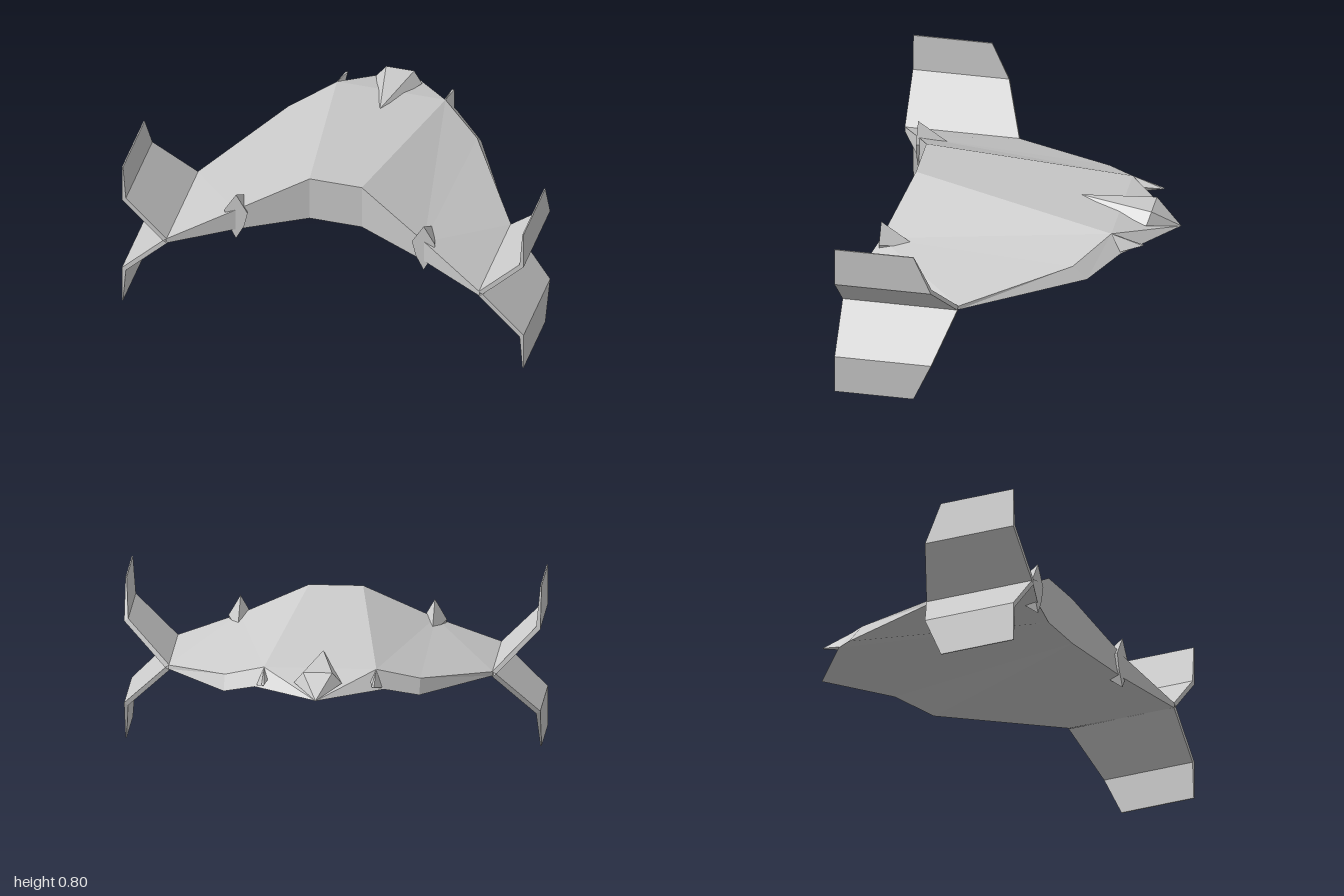
import * as THREE from 'three';
import { ConvexGeometry } from 'three/addons/geometries/ConvexGeometry.js';

const material = new THREE.MeshStandardMaterial({ color: 0xcccccc, flatShading: true, side: THREE.DoubleSide });
const flip = ([x, y, z]) => [-x, y, z];

// Fan-triangulates polygons; each triangle is turned to face along its outward hint.
function shell(faces) {
  const positions = [];
  const a = new THREE.Vector3(), b = new THREE.Vector3(), c = new THREE.Vector3();
  for (const [points, out] of faces) {
    for (let i = 1; i < points.length - 1; i++) {
      const tri = [points[0], points[i], points[i + 1]];
      a.set(...tri[0]);
      b.set(...tri[1]).sub(a);
      c.set(...tri[2]).sub(a);
      if (b.cross(c).dot(new THREE.Vector3(...out)) < 0) tri.reverse();
      positions.push(...tri.flat());
    }
  }
  const geometry = new THREE.BufferGeometry();
  geometry.setAttribute('position', new THREE.Float32BufferAttribute(positions, 3));
  geometry.computeVertexNormals();
  return geometry;
}

function hull(points) {
  return new ConvexGeometry(points.map((p) => new THREE.Vector3(...p)));
}

function add(parent, name, geometry) {
  const mesh = new THREE.Mesh(geometry, material);
  mesh.name = name;
  parent.add(mesh);
}

function bodyGeometry() {
  const nose = [0, 0.505, -0.75];
  // upper corners
  const ridgeRear = [0.13, 0.74, 0.52], ridgeFront = [0.27, 0.59, -0.46];
  const lead = [0.47, 0.51, -0.31], tipFront = [0.78, 0.415, 0.19];
  const midRear = [0.47, 0.56, 0.625], tipRear = [0.78, 0.415, 0.75];
  // lower corners
  const keelRear = [0.13, 0.505, 0.52], cheek = [0.31, 0.505, -0.51];
  const leadLow = [0.47, 0.445, -0.38], tipFrontLow = [0.78, 0.395, 0.19];
  const midRearLow = [0.47, 0.445, 0.625], tipRearLow = [0.78, 0.39, 0.75];
  const up = [0, 1, 0], down = [0, -1, 0], back = [0, 0, 1];
  const half = [
    [[ridgeRear, ridgeFront, midRear], up],
    [[midRear, ridgeFront, lead, tipFront, tipRear], up],
    [[nose, ridgeFront, cheek], up],
    [[ridgeFront, lead, leadLow, cheek], [0.5, 0.5, -1]],
    [[lead, tipFront, tipFrontLow, leadLow], [1, 0.3, -0.6]],
    [[keelRear, nose, cheek, leadLow, midRearLow], down],
    [[midRearLow, leadLow, tipFrontLow, tipRearLow], down],
    [[ridgeRear, midRear, midRearLow, keelRear], back],
    [[midRear, tipRear, tipRearLow, midRearLow], back],
    [[tipFront, tipRear, tipRearLow, tipFrontLow], [1, 0, 0]],
  ];
  const mirrored = half.map(([points, out]) => [points.map(flip), flip(out)]);
  const centre = [
    [[ridgeRear, ridgeFront, flip(ridgeFront), flip(ridgeRear)], up],
    [[ridgeFront, nose, flip(ridgeFront)], up],
    [[keelRear, nose, flip(keelRear)], down],
    [[ridgeRear, keelRear, flip(keelRear), flip(ridgeRear)], back],
  ];
  return shell([...half, ...mirrored, ...centre]);
}

// One tip panel between two stations, each [inner x, inner y, outer x, outer y, front z]
function panelGeometry(stations, side, vertical) {
  const points = [];
  for (const [xi, yi, xo, yo, front] of stations) {
    for (const z of [front, 0.75]) {
      points.push([side * xi, 0.402 + vertical * yi, z], [side * xo, 0.402 + vertical * yo, z]);
    }
  }
  return hull(points);
}

export function createModel() {
  const model = new THREE.Group();
  model.name = 'glider';
  add(model, 'body', bodyGeometry());

  // Faceted canopy running back from the nose
  add(model, 'canopy', hull([
    [0, 0.505, -0.75], [0, 0.625, -0.26],
    ...[-1, 1].flatMap((s) => [[s * 0.07, 0.61, -0.617], [s * 0.115, 0.555, -0.6], [s * 0.07, 0.53, -0.6]]),
  ]));

  // Wing tips split into an upper and a lower bent fin
  const root = [0.775, 0.012, 0.795, 0, 0.19];
  const bend = [0.98, 0.215, 1, 0.203, 0.28];
  const tip = [0.994, 0.398, 1, 0.398, 0.365];
  for (const side of [-1, 1]) {
    const label = side > 0 ? 'left' : 'right';
    for (const vertical of [-1, 1]) {
      const level = vertical > 0 ? 'Upper' : 'Lower';
      add(model, `${label}${level}Strut`, panelGeometry([root, bend], side, vertical));
      add(model, `${label}${level}Fin`, panelGeometry([bend, tip], side, vertical));
    }

    // Six-sided spike on the trailing edge
    const rim = [[0, 0.13], [0.058, 0.03], [0.04, -0.05], [0, -0.13], [-0.04, -0.05], [-0.058, 0.03]];
    add(model, `${label}RearSpike`, hull([
      [side * 0.467, 0.53, 0.45],
      ...rim.map(([x, y]) => [side * (0.467 + x), 0.522 + y, 0.625]),
    ]));

    // Slim prong beside the nose
    add(model, `${label}FrontProng`, hull([
      [side * 0.258, 0.54, -0.615], [side * 0.27, 0.54, -0.615],
      [side * 0.245, 0.545, -0.5], [side * 0.305, 0.51, -0.5],
      [side * 0.27, 0.59, -0.46], [side * 0.27, 0.507, -0.5],
    ]));
  }
  return model;
}
